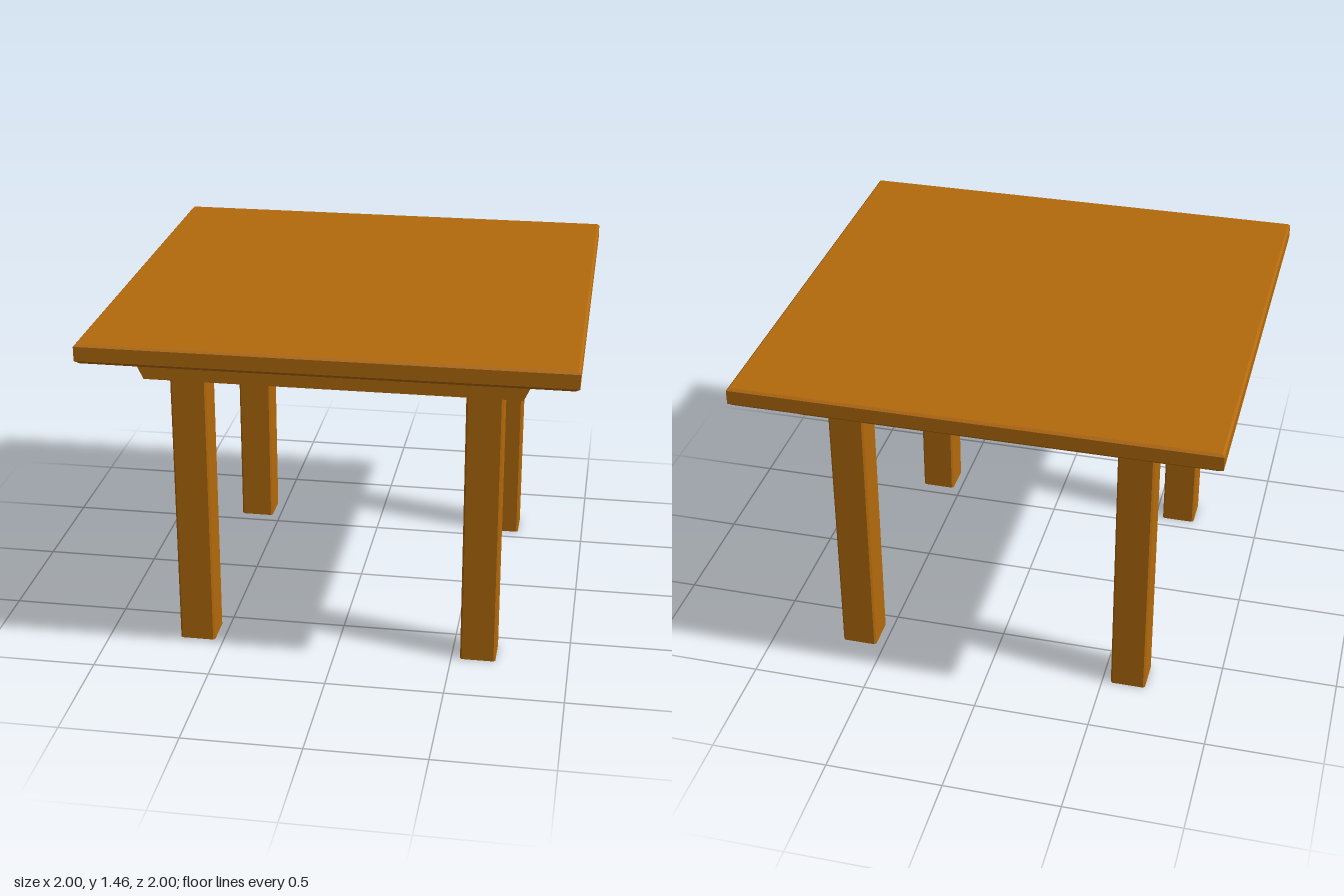
import * as THREE from 'three';

const wood = new THREE.MeshStandardMaterial({ color: 0xb36a0c });
wood.name = 'warm wood';

function addPart(parent, name, geometry) {
  const mesh = new THREE.Mesh(geometry, wood);
  mesh.name = name;
  parent.add(mesh);
  return mesh;
}

// Square slab from a profile of [half width, height], with crisp facets
function squareLoft(profile) {
  const points = profile.map(([half, y]) => new THREE.Vector2(half * Math.SQRT2, y));
  const geometry = new THREE.LatheGeometry(points, 4, Math.PI / 4).toNonIndexed();
  geometry.computeVertexNormals();
  return geometry;
}

// Upright square post with chamfered long edges
function postGeometry(width, height, chamfer) {
  const h = width / 2, c = h - chamfer;
  const outline = [[h, -c], [h, c], [c, h], [-c, h], [-h, c], [-h, -c], [-c, -h], [c, -h]];
  const shape = new THREE.Shape(outline.map(([x, y]) => new THREE.Vector2(x, y)));
  return new THREE.ExtrudeGeometry(shape, { depth: height, bevelEnabled: false }).rotateX(-Math.PI / 2);
}

export function createModel() {
  const table = new THREE.Group();
  table.name = 'table';

  // Top with a wider bevel underneath
  addPart(table, 'tableTop', squareLoft([
    [0, 1.37], [0.982, 1.37], [1, 1.385], [1, 1.445], [0.99, 1.455], [0, 1.455],
  ]));

  // Solid apron block, tapering downwards at its left and right ends
  const section = new THREE.Shape([
    new THREE.Vector2(-0.775, 1.246), new THREE.Vector2(0.775, 1.246),
    new THREE.Vector2(0.834, 1.372), new THREE.Vector2(-0.834, 1.372),
  ]);
  const apron = new THREE.ExtrudeGeometry(section, { depth: 1.604, bevelEnabled: false });
  addPart(table, 'apron', apron.translate(0, 0, -0.802));

  // Four legs
  const legGeometry = postGeometry(0.152, 1.248, 0.008);
  for (const [side, x] of [['Left', 0.614], ['Right', -0.614]]) {
    for (const [end, z] of [['front', 0.635], ['back', -0.635]]) {
      addPart(table, `${end}${side}Leg`, legGeometry).position.set(x, 0, z);
    }
  }
  return table;
}
